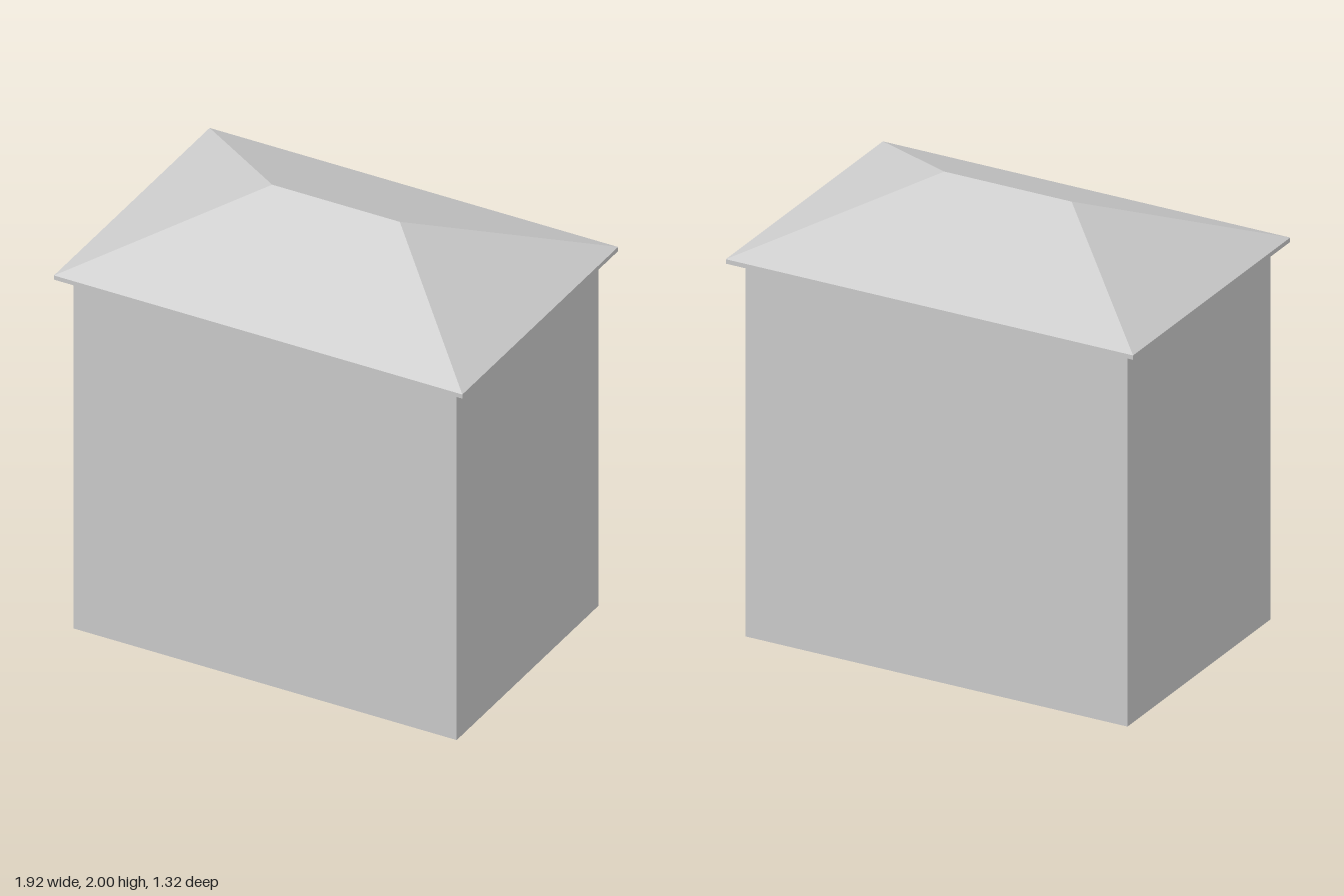
import * as THREE from 'three';
import { ConvexGeometry } from 'three/addons/geometries/ConvexGeometry.js';

const W = 1.8, D = 1.2, H = 1.7;   // wall width, depth and height

export function createModel() {
  const model = new THREE.Group();
  model.name = 'house';
  const plaster = new THREE.MeshStandardMaterial({ color: 0xcccccc, side: THREE.DoubleSide });
  plaster.name = 'plain grey';

  const add = (name, geometry, x, y, z) => {
    const mesh = new THREE.Mesh(geometry, plaster);
    mesh.name = name;
    mesh.position.set(x, y, z);
    model.add(mesh);
    return mesh;
  };

  // Thin shell of four walls, open underneath
  add('frontWall', new THREE.PlaneGeometry(W, H), 0, H / 2, D / 2);
  add('backWall', new THREE.PlaneGeometry(W, H), 0, H / 2, -D / 2).rotation.y = Math.PI;
  for (const s of [-1, 1]) {
    const side = s > 0 ? 'leftWall' : 'rightWall';
    add(side, new THREE.PlaneGeometry(D, H), s * W / 2, H / 2, 0).rotation.y = s * Math.PI / 2;
  }

  // Eaves slab and hipped roof
  add('eaves', new THREE.BoxGeometry(1.92, 0.02, 1.32), 0, H + 0.01, 0);
  const corners = [];
  for (const s of [-1, 1]) {
    corners.push(new THREE.Vector3(s * 0.3, 0.28, 0));
    for (const t of [-1, 1]) corners.push(new THREE.Vector3(s * 0.96, 0, t * 0.66));
  }
  add('hipRoof', new ConvexGeometry(corners), 0, H + 0.02, 0);

  // Blocks standing out from the inner face of the front wall
  const innerBlock = (name, x, bottom, w, h, d) =>
    add(name, new THREE.BoxGeometry(w, h, d), x, bottom + h / 2, D / 2 - 0.002 - d / 2);
  innerBlock('doorBlock', 0, 0.26, 0.2, 0.25, 0.04);
  for (const s of [-1, 1]) {
    innerBlock('innerWindowBlock', s * 0.39, 0.35, 0.15, 0.14, 0.03);
    innerBlock('outerWindowBlock', s * 0.66, 0.35, 0.15, 0.14, 0.03);
  }
  innerBlock('lintelBlock', 0, 0.65, 1.52, 0.15, 0.08);

  return model;
}
